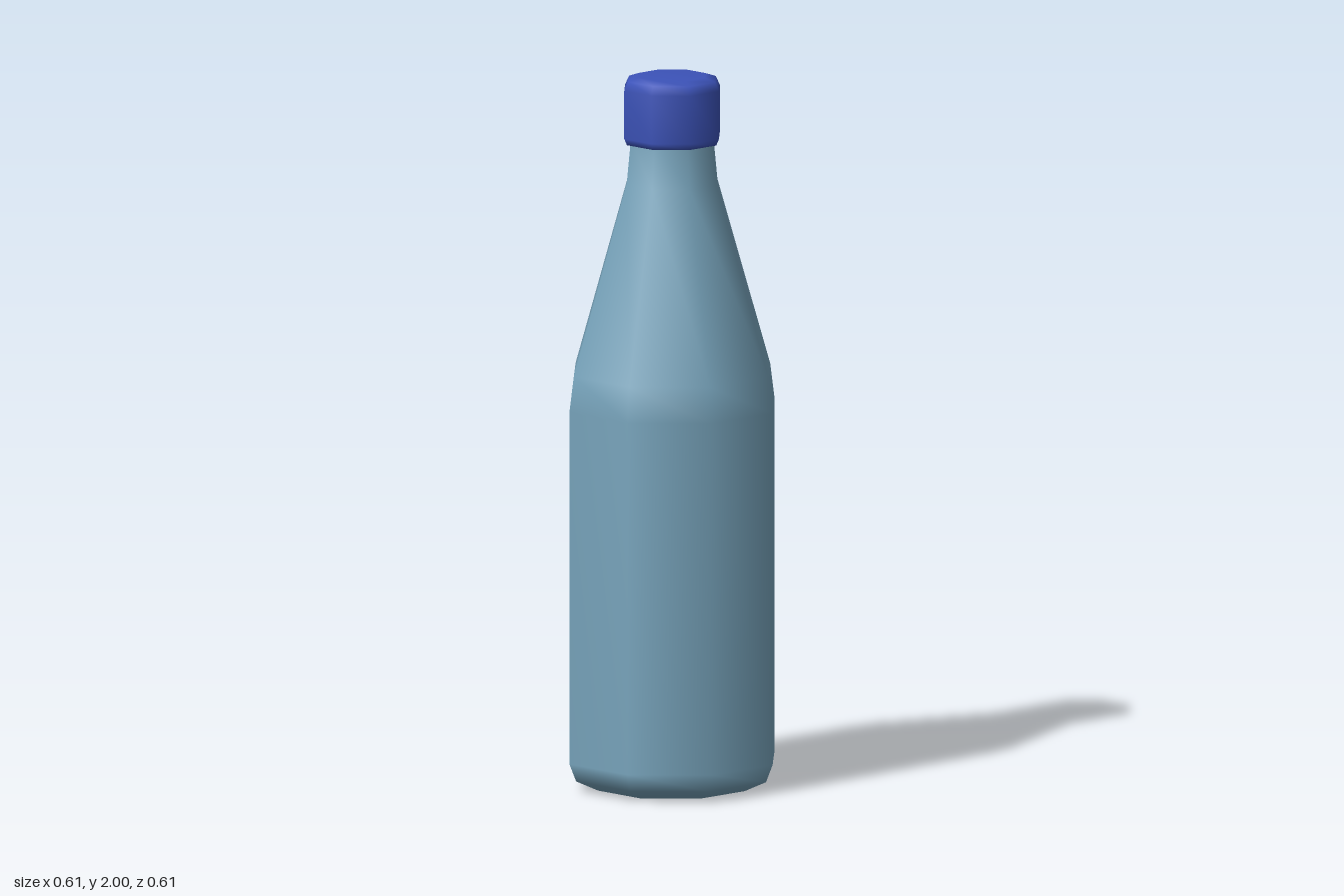
import * as THREE from 'three';

const SIDES = 8;

// Eight-sided smooth-shaded turned part from [radius, height] pairs, bottom to top
function turned(name, profile, material) {
  const points = profile.map(([r, y]) => new THREE.Vector2(r, y));
  const mesh = new THREE.Mesh(new THREE.LatheGeometry(points, SIDES), material);
  mesh.name = name;
  return mesh;
}

export function createModel() {
  const glass = new THREE.MeshStandardMaterial({ color: 0x79a6be });
  glass.name = 'pale blue glass';
  const capBlue = new THREE.MeshStandardMaterial({ color: 0x3c53b9 });
  capBlue.name = 'cap blue';

  const model = new THREE.Group();
  model.name = 'bottle';

  // Base, straight body, sloping shoulder and neck
  model.add(turned('bottleBody', [
    [0, 0], [0.22, 0], [0.285, 0.03], [0.305, 0.08],
    [0.305, 1.07], [0.292, 1.17], [0.135, 1.7], [0.122, 1.83],
  ], glass));

  // Screw cap with softened rims and a closed underside
  model.add(turned('cap', [
    [0, 1.815], [0.12, 1.812], [0.134, 1.812], [0.142, 1.83],
    [0.142, 1.965], [0.13, 1.99], [0.1, 2], [0, 2],
  ], capBlue));

  return model;
}
